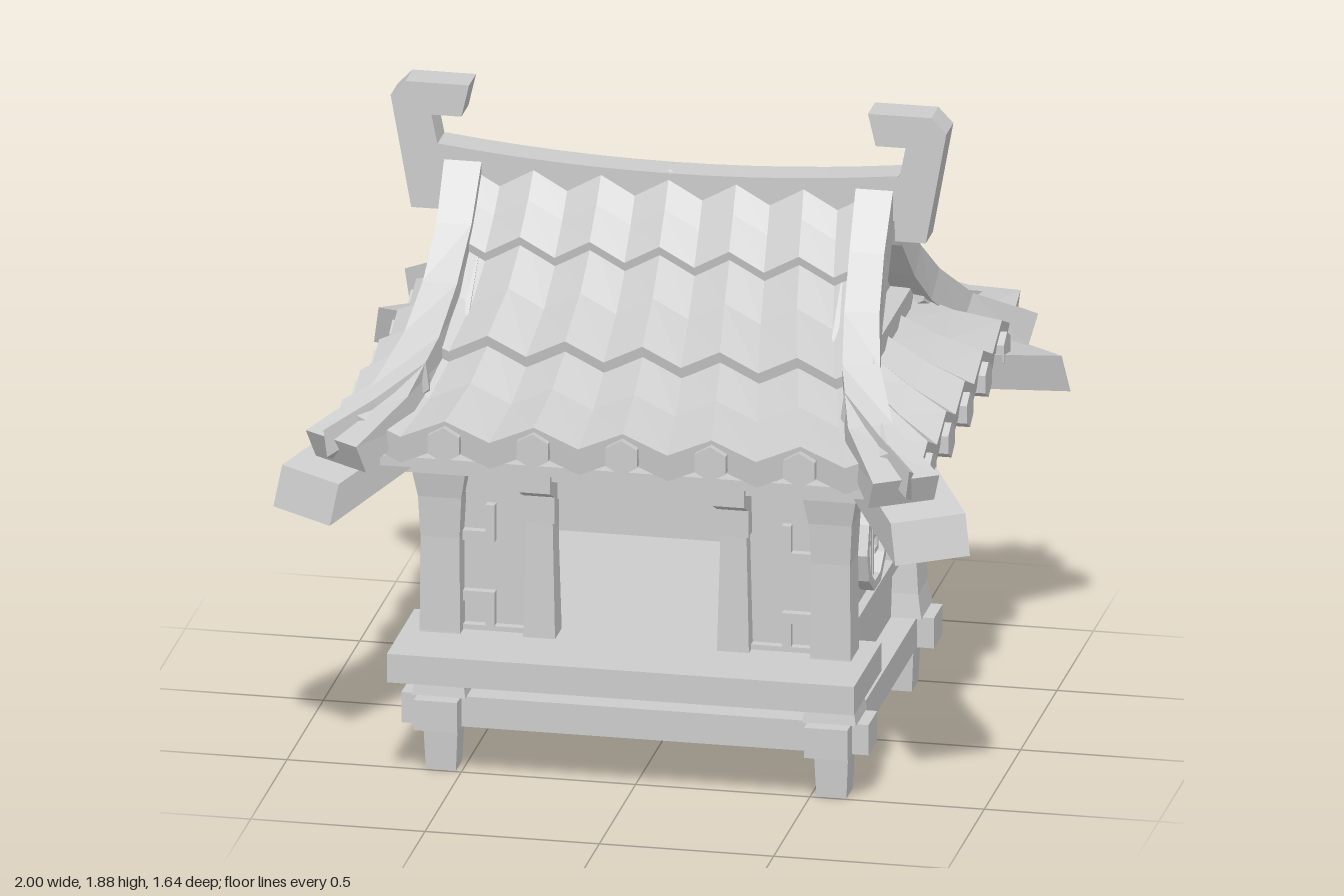
import * as THREE from 'three';

const stone = new THREE.MeshStandardMaterial({ color: 0xcccccc, flatShading: true });
stone.name = 'stone';

function add(parent, name, geo, x = 0, y = 0, z = 0) {
  const m = new THREE.Mesh(geo, stone);
  m.name = name;
  m.position.set(x, y, z);
  parent.add(m);
  return m;
}

// Box given by its minimum and maximum on each axis
function box(parent, name, x0, x1, y0, y1, z0, z1) {
  return add(parent, name, new THREE.BoxGeometry(x1 - x0, y1 - y0, z1 - z0),
    (x0 + x1) / 2, (y0 + y1) / 2, (z0 + z1) / 2);
}

// Closed solid through equal loops of points [x, y, z]
function loft(loops) {
  const tris = [], n = loops[0].length;
  const quad = (a, b, c, d) => tris.push([a, b, c], [a, c, d]);
  for (let s = 0; s < loops.length - 1; s++)
    for (let i = 0; i < n; i++) {
      const j = (i + 1) % n;
      quad(loops[s][i], loops[s][j], loops[s + 1][j], loops[s + 1][i]);
    }
  const a = loops[0], b = loops[loops.length - 1];
  for (let i = 0; i < n / 2 - 1; i++) {
    quad(a[n - 1 - i], a[n - 2 - i], a[i + 1], a[i]);
    quad(b[i], b[i + 1], b[n - 2 - i], b[n - 1 - i]);
  }
  // turn all faces outwards
  let volume = 0;
  const v = (p) => new THREE.Vector3(...p);
  for (const [p, q, r] of tris) volume += v(p).dot(v(q).cross(v(r)));
  if (volume < 0) tris.forEach((t) => t.reverse());
  const g = new THREE.BufferGeometry();
  g.setAttribute('position', new THREE.Float32BufferAttribute(tris.flat(2), 3));
  g.computeVertexNormals();
  return g;
}

// Square column through stations [y, half width]
const column = (stations) => loft(stations.map(([y, h]) =>
  [[-h, y, -h], [h, y, -h], [h, y, h], [-h, y, h]]));

// Zigzag row of tiles through stations [z, y, tile spacing]
function tileRow(stations, thick) {
  return loft(stations.map(([z, y, s]) => {
    const top = [];
    for (let k = -6; k <= 6; k++) top.push([k * s / 2, y - (k % 2 ? 0.055 : 0), z]);
    const low = top.map(([x, yy]) => [x, yy - thick, z - 0.01]).reverse();
    return [...top, ...low];
  }));
}

function extrude(points, depth) {
  const shape = new THREE.Shape(points.map(([x, y]) => new THREE.Vector2(x, y)));
  return new THREE.ExtrudeGeometry(shape, { depth, bevelEnabled: false }).translate(0, 0, -depth / 2);
}

function turned(parent, name, angle) {
  const g = new THREE.Group();
  g.name = name;
  g.rotation.y = angle;
  parent.add(g);
  return g;
}

// Bracket that hangs under the eave
function bracket(parent, x, d) {
  const g = extrude([[0, 0.76], [0.05, 0.76], [0.05, 0.84], [0.11, 0.87], [0.11, 0.975], [0, 0.975]], 0.09);
  add(parent, 'eaveBracket', g.rotateY(-Math.PI / 2), x, 0, d);
}

// Rails and corner frets on one wall
function wallTrim(parent, d, w, open) {
  for (const [a, b] of open ? [[-w, -0.24], [0.24, w]] : [[-w, w]])
    box(parent, 'lowerRail', a, b, 0.39, 0.43, d - 0.01, d + 0.025);
  box(parent, 'upperRail', -w, w, open ? 0.82 : 0.79, 0.9, d - 0.01, d + 0.015);
  for (const s of [-1, 1]) {
    const c = s * (w - 0.085);
    for (const [y0, y1, arm] of [[0.68, 0.79, 0.695], [0.43, 0.53, 0.515]]) {
      box(parent, 'fretUpright', c - 0.013, c + 0.013, y0, y1, d - 0.01, d + 0.025);
      box(parent, 'fretArm', Math.min(c, s * w), Math.max(c, s * w), arm - 0.015, arm + 0.015, d - 0.01, d + 0.025);
    }
  }
}

export function createModel() {
  const model = new THREE.Group();
  model.name = 'shrine';

  // Crossed base beams, floor and front deck
  for (const s of [-1, 1]) {
    box(model, 'baseBeamLong', -0.67, 0.67, 0.14, 0.23, s * 0.45 - 0.06, s * 0.45 + 0.06);
    box(model, 'baseBeamShort', s * 0.56 - 0.062, s * 0.56 + 0.062, 0.141, 0.231, -0.57, 0.57);
  }
  box(model, 'floor', -0.55, 0.55, 0.18, 0.41, -0.44, 0.44);
  for (const [a, b] of [[0.33, 0.45], [0.45, 0.58], [0.58, 0.71]])
    box(model, 'deckPlank', -0.67, 0.67, 0.33, 0.415, a, b);

  // Feet and corner pillars
  for (const x of [-0.56, 0.56]) for (const z of [-0.45, 0.45]) {
    add(model, 'foot', column([[0, 0.043], [0.15, 0.05]]), x, 0, z);
    add(model, 'pillar', column([[0.23, 0.077], [0.3, 0.066], [0.42, 0.058], [0.7, 0.056], [0.82, 0.062], [0.92, 0.08]]), x, 0, z);
  }

  // Walls with an open doorway
  box(model, 'backWall', -0.55, 0.55, 0.4, 0.92, -0.44, -0.4);
  for (const s of [-1, 1]) {
    box(model, 'sideWall', s * 0.53 - 0.02, s * 0.53 + 0.02, 0.4, 0.92, -0.44, 0.44);
    box(model, 'frontWall', s * 0.395 - 0.155, s * 0.395 + 0.155, 0.4, 0.92, 0.4, 0.44);
    add(model, 'doorPost', column([[0.41, 0.046], [0.9, 0.034]]), s * 0.278, 0, 0.45);
  }
  box(model, 'lintel', -0.25, 0.25, 0.82, 0.92, 0.4, 0.44);

  // Top plates and soffit
  box(model, 'topPlate', -0.67, 0.67, 0.9, 0.935, -0.54, 0.54);
  box(model, 'upperPlate', -0.71, 0.71, 0.935, 0.96, -0.57, 0.57);
  box(model, 'soffit', -0.8, 0.8, 0.955, 0.985, -0.65, 0.65);

  // Front and back: trim, brackets, three tile rows and eave caps
  for (const front of [true, false]) {
    const g = turned(model, front ? 'frontSide' : 'backSide', front ? 0 : Math.PI);
    wallTrim(g, 0.44, 0.51, front);
    for (const x of [-0.278, 0.278]) bracket(g, x, 0.45);
    add(g, 'upperTiles', tileRow([[0.03, 1.67, 0.193], [0.1, 1.575, 0.196], [0.175, 1.49, 0.2]], 0.05));
    add(g, 'middleTiles', tileRow([[0.12, 1.51, 0.197], [0.27, 1.37, 0.207], [0.41, 1.275, 0.222]], 0.05));
    add(g, 'lowerTiles', tileRow([[0.35, 1.275, 0.217], [0.52, 1.17, 0.235], [0.68, 1.11, 0.255]], 0.08));
    for (let k = -2; k <= 2; k++)
      add(g, 'eaveCap', new THREE.CylinderGeometry(0.052, 0.052, 0.06, 6).rotateX(Math.PI / 2), k * 0.255, 1.045, 0.67);
  }

  // Left and right: trim, bracket, round window, tile row and gable
  for (const s of [-1, 1]) {
    const g = turned(model, s > 0 ? 'leftSide' : 'rightSide', s * Math.PI / 2);
    wallTrim(g, 0.55, 0.39, false);
    bracket(g, 0, 0.55);

    const ring = new THREE.Shape(), hole = new THREE.Path();
    for (let i = 0; i < 10; i++) {
      const c = Math.cos(i * Math.PI / 5), q = Math.sin(i * Math.PI / 5);
      ring[i ? 'lineTo' : 'moveTo'](0.143 * c, 0.143 * q);
      hole[i ? 'lineTo' : 'moveTo'](0.115 * c, 0.115 * q);
    }
    ring.holes.push(hole);
    add(g, 'windowRing', new THREE.ExtrudeGeometry(ring, { depth: 0.05, bevelEnabled: false }), 0, 0.597, 0.54);
    for (const e of [-1, 1]) {
      const bar = (x0, x1, y0, y1) => box(g, 'windowBar', Math.min(e * x0, e * x1), Math.max(e * x0, e * x1),
        0.597 + y0, 0.597 + y1, 0.54, 0.575);
      bar(0.006, 0.02, -0.115, 0.115);
      bar(0.02, 0.115, -0.008, 0.008);
      bar(0.066, 0.08, -0.055, 0.055);
      bar(0.035, 0.08, 0.04, 0.055);
      bar(0.035, 0.08, -0.055, -0.04);
    }

    add(g, 'sideTiles', tileRow([[0.6, 1.22, 0.17], [0.72, 1.145, 0.21], [0.84, 1.09, 0.255]], 0.08));
    for (let k = -2; k <= 2; k++)
      add(g, 'eaveCap', new THREE.CylinderGeometry(0.052, 0.052, 0.06, 6).rotateX(Math.PI / 2), k * 0.255, 1.005, 0.825);

    add(g, 'gable', extrude([[-0.42, 1.12], [0.42, 1.12], [0.38, 1.22], [0.15, 1.44], [0.03, 1.62],
      [-0.03, 1.62], [-0.15, 1.44], [-0.38, 1.22]], 0.04), 0, 0, 0.54);
    box(g, 'gableSill', -0.38, 0.38, 1.18, 1.24, 0.55, 0.62);
    for (const x of [-0.055, 0.055]) box(g, 'gableUpright', x - 0.012, x + 0.012, 1.24, 1.5, 0.55, 0.59);
    for (const y of [1.29, 1.36, 1.43]) box(g, 'gableBar', -0.06, 0.06, y - 0.012, y + 0.012, 0.55, 0.585);
  }

  // Curved hip ridges [x, top y, z, half width, turn], with corner beams under them
  const path = [[0.59, 1.67, 0.04, 0.054, 0], [0.592, 1.51, 0.16, 0.05, 0], [0.605, 1.38, 0.29, 0.05, 0.08],
    [0.63, 1.27, 0.42, 0.053, 0.2], [0.69, 1.15, 0.58, 0.065, 0.45], [0.825, 1.055, 0.735, 0.1, 0.58]];
  const hipLoops = path.map(([x, y, z, w, a], i) => {
    const p = path[Math.max(i - 1, 0)], q = path[Math.min(i + 1, path.length - 1)];
    const along = Math.hypot(q[0] - p[0], q[2] - p[2]), fall = p[1] - q[1], len = Math.hypot(along, fall);
    const down = 0.095 * along / len, back = 0.095 * fall / len;
    const cx = w * Math.cos(a), cz = w * Math.sin(a);
    const bx = x - back * Math.sin(a), bz = Math.max(z - back * Math.cos(a), 0);
    return [[x - cx, y, z + cz], [x + cx, y, z - cz], [bx + cx, y - down, bz - cz], [bx - cx, y - down, bz + cz]];
  });
  const beamLoop = (x, z, top, bottom, lean) => {
    const ax = 0.094, az = 0.063, tx = x - lean * 0.55, tz = z - lean * 0.835;
    return [[tx - ax, top, tz + az], [tx + ax, top, tz - az], [x + ax, bottom, z - az], [x - ax, bottom, z + az]];
  };
  const hip = loft(hipLoops);
  const beam = loft([beamLoop(0.72, 0.47, 1.03, 0.92, 0.03), beamLoop(0.905, 0.755, 0.94, 0.825, 0.035)]);
  for (const sx of [-1, 1]) for (const sz of [-1, 1]) {
    add(model, 'hipRidge', hip).scale.set(sx, 1, sz);
    add(model, 'cornerBeam', beam).scale.set(sx, 1, sz);
  }

  // Sagging main ridge with hooked ends
  const top = [], bottom = [];
  for (let i = -6; i <= 6; i++) {
    const x = i * 0.11;
    top.push([x, 1.665 + 0.04 * (x / 0.66) ** 2]);
    bottom.unshift([x, 1.57]);
  }
  add(model, 'mainRidge', extrude([...top, ...bottom].reverse(), 0.096));
  const hook = extrude([[0.65, 1.51], [0.738, 1.51], [0.797, 1.84], [0.754, 1.885], [0.572, 1.885],
    [0.594, 1.79], [0.68, 1.79], [0.663, 1.705], [0.645, 1.69]], 0.097);
  for (const s of [-1, 1]) add(model, 'ridgeHook', hook).scale.x = s;

  return model;
}
